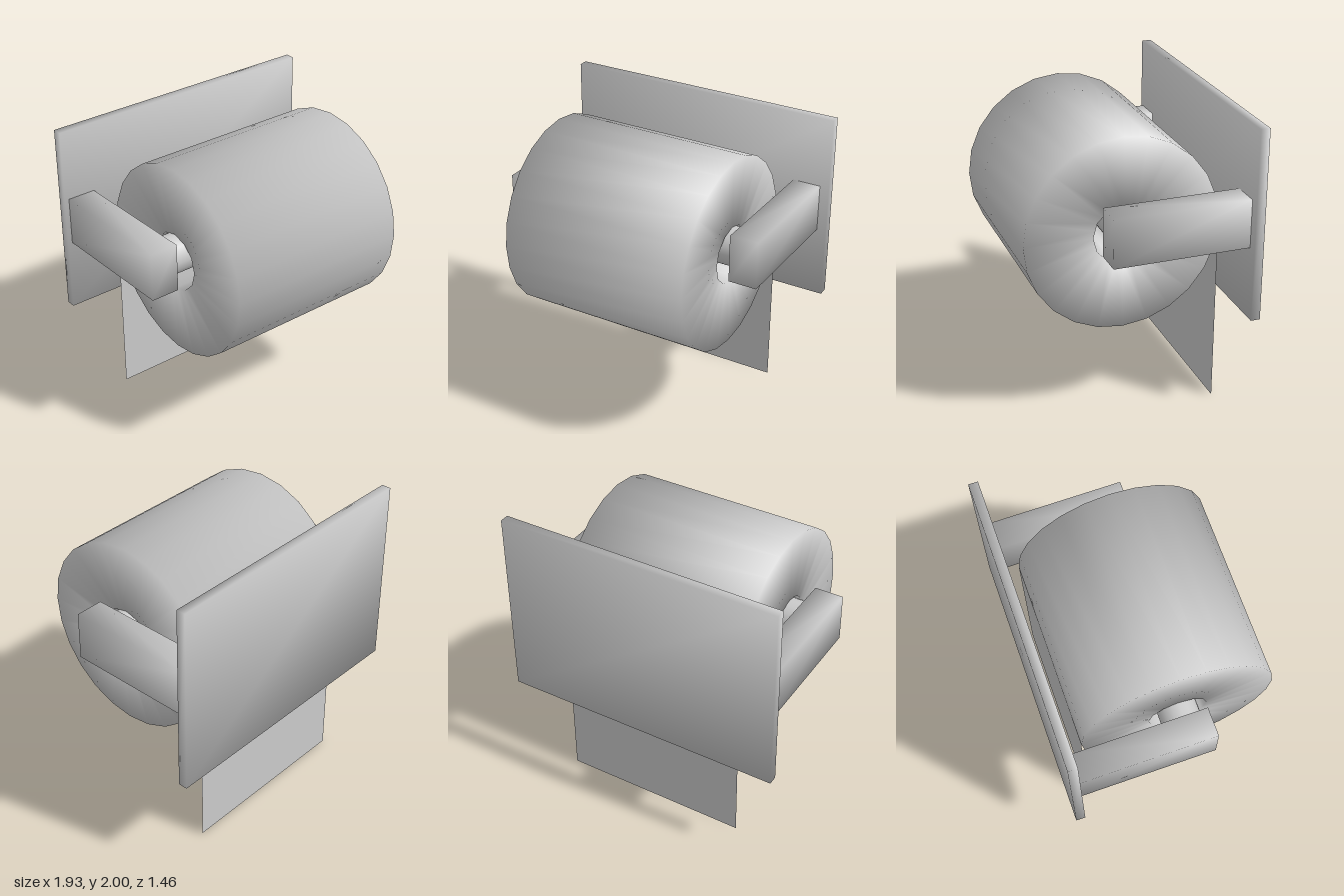
import * as THREE from 'three';
import { mergeVertices } from 'three/addons/utils/BufferGeometryUtils.js';

// Weld corners and average the face normals equally, for soft shading across the edges
function soften(geometry) {
  geometry.deleteAttribute('normal');
  geometry.deleteAttribute('uv');
  const welded = mergeVertices(geometry, 1e-4);
  const { position } = welded.attributes;
  const index = welded.index.array;
  const normals = Array.from({ length: position.count }, () => new THREE.Vector3());
  const face = new THREE.Triangle();
  const n = new THREE.Vector3();
  for (let i = 0; i < index.length; i += 3) {
    face.setFromAttributeAndIndices(position, index[i], index[i + 1], index[i + 2]);
    face.getNormal(n);
    for (let k = 0; k < 3; k++) normals[index[i + k]].add(n);
  }
  const flat = normals.flatMap((v) => v.normalize().toArray());
  welded.setAttribute('normal', new THREE.Float32BufferAttribute(flat, 3));
  return welded;
}

// Hollow roll along x: 24-sided outside, 12-sided core
function rollGeometry(outer, inner, length) {
  const h = length / 2;
  const profile = [[inner, -h], [outer, -h], [outer, h], [inner, h], [inner, -h]];
  const geometry = new THREE.LatheGeometry(profile.map(([r, y]) => new THREE.Vector2(r, y)), 24);
  const { position } = geometry.attributes;
  for (let i = 0; i < position.count; i++) {
    const odd = Math.floor(i / profile.length) % 2 === 1;
    if (!odd || profile[i % profile.length][0] !== inner) continue;
    // Every second core point moves onto the middle of a 12-gon edge
    const s = Math.cos(Math.PI / 12);
    position.setXYZ(i, position.getX(i) * s, position.getY(i), position.getZ(i) * s);
  }
  return soften(geometry.rotateZ(Math.PI / 2));
}

export function createModel() {
  const group = new THREE.Group();
  const material = new THREE.MeshStandardMaterial({ color: 0xcccccc });

  function add(name, geometry, x, y, z, mat = material) {
    const mesh = new THREE.Mesh(geometry, mat);
    mesh.name = name;
    mesh.position.set(x, y, z);
    group.add(mesh);
  }

  // Wall plate
  add('wallPlate', soften(new THREE.BoxGeometry(1.934, 1.289, 0.063)), 0, 1.3555, -0.696);

  // Arms reaching forward from the plate
  for (const [name, x] of [['leftArm', 0.807], ['rightArm', -0.84]]) {
    add(name, soften(new THREE.BoxGeometry(0.193, 0.325, 0.905)), x, 1.3575, -0.2125);
  }

  // Spindle between the arms
  const spindle = new THREE.CylinderGeometry(0.13, 0.13, 1.455, 16);
  spindle.rotateZ(Math.PI / 2);
  add('spindle', spindle, -0.0165, 1.356, 0.08);

  // Paper roll with a hollow core
  add('paperRoll', rollGeometry(0.645, 0.195, 1.289), 0, 1.292, 0.083);

  // Loose sheet hanging from the back of the roll
  const paper = material.clone();
  paper.side = THREE.DoubleSide;
  add('hangingSheet', new THREE.PlaneGeometry(1.289, 1.292), 0, 0.646, -0.562, paper);

  return group;
}
